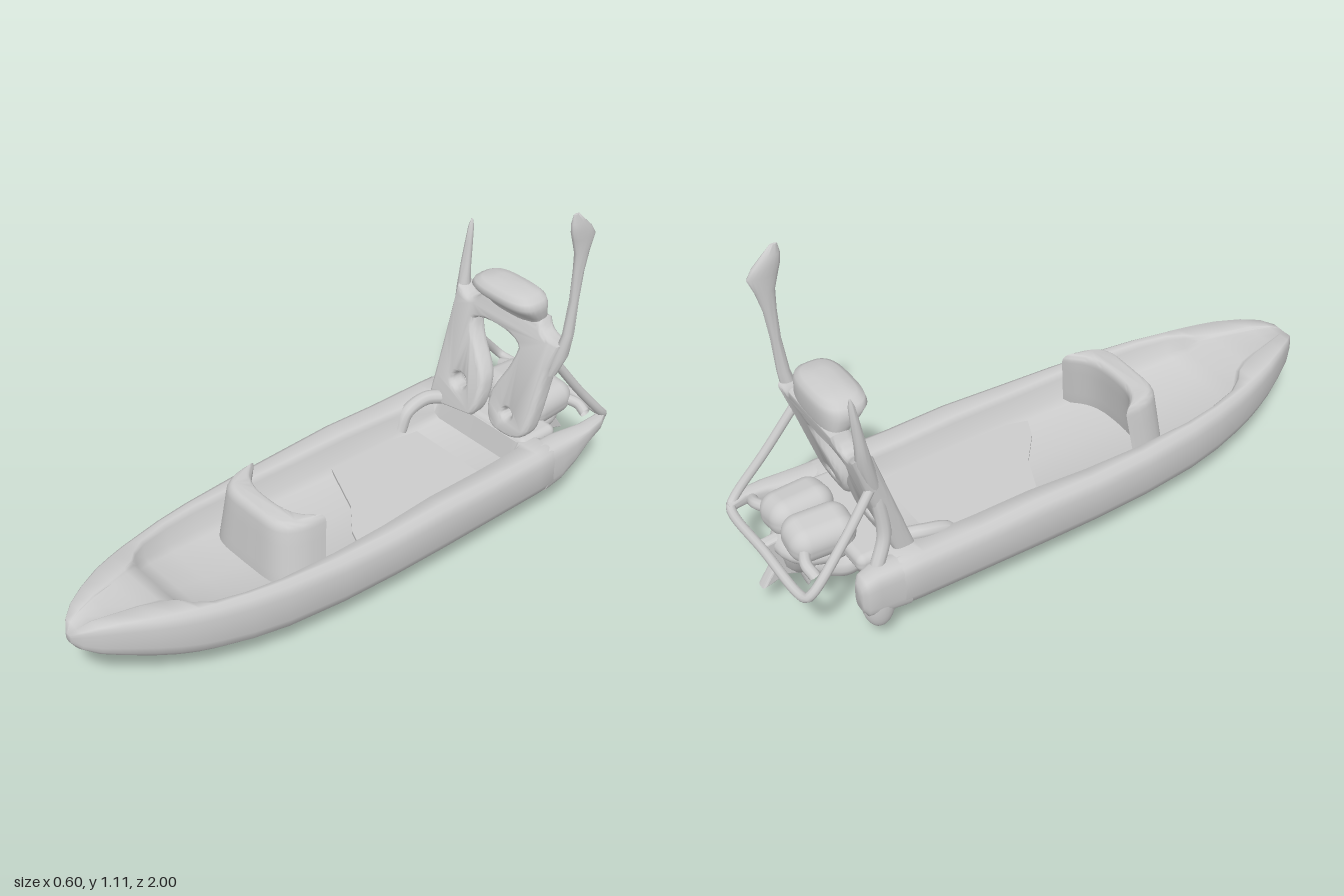
import * as THREE from 'three';
import { toCreasedNormals } from 'three/addons/utils/BufferGeometryUtils.js';
import { RoundedBoxGeometry } from 'three/addons/geometries/RoundedBoxGeometry.js';

const mat = new THREE.MeshStandardMaterial({ color: 0xcccccc, side: THREE.DoubleSide });

// Skin a list of equal-length closed rings and cap both ends.
function skin(rings, crease) {
  const n = rings[0].length, pos = [], idx = [];
  rings.forEach(r => r.forEach(p => pos.push(...p)));
  for (let i = 0; i < rings.length - 1; i++) {
    for (let j = 0; j < n; j++) {
      const a = i * n + j, b = i * n + (j + 1) % n;
      idx.push(a, b, b + n, a, b + n, a + n);
    }
  }
  [0, rings.length - 1].forEach((k, end) => {
    const c = pos.length / 3, m = [0, 1, 2].map(d => rings[k].reduce((s, p) => s + p[d], 0) / n);
    pos.push(...m);
    for (let j = 0; j < n; j++) {
      const a = k * n + j, b = k * n + (j + 1) % n;
      idx.push(c, end ? a : b, end ? b : a);
    }
  });
  const g = new THREE.BufferGeometry();
  g.setAttribute('position', new THREE.Float32BufferAttribute(pos, 3));
  g.setIndex(idx);
  return toCreasedNormals(g, crease);
}

// Rounded outline: power 1 is an ellipse, smaller is boxier.
function oval(n, power, fn) {
  const bend = v => Math.sign(v) * Math.abs(v) ** power;
  return Array.from({ length: n }, (_, j) => {
    const t = j / n * Math.PI * 2;
    return fn(bend(Math.sin(t)), bend(Math.cos(t)));
  });
}

// Upright loft, rows [x, y, z, rx, rz] from low to high.
const column = (rows, n = 16, power = 1) =>
  skin(rows.map(([x, y, z, rx, rz]) => oval(n, power, (s, c) => [x + rx * s, y, z + rz * c])), 1.2);

// Lengthwise loft, rows [x, y, z, rx, ry] from back to front.
const beam = (rows, n = 24, power = 0.6) =>
  skin(rows.map(([x, y, z, rx, ry]) => oval(n, power, (s, c) => [x + rx * c, y + ry * s, z])), 1.2);

function tube(points, r, seg = 40) {
  const curve = new THREE.CatmullRomCurve3(points.map(p => new THREE.Vector3(...p)), false, 'centripetal');
  return new THREE.TubeGeometry(curve, seg, r, 10);
}

function hullGeometry() {
  // z, half width, keel, chine, sheer, cockpit half width, floor
  const stations = [
    [-0.70, 0.295, 0.07, 0.13, 0.275, 0.20, 0.275], [-0.68, 0.30, 0.05, 0.12, 0.285, 0.20, 0.285],
    [-0.62, 0.302, 0.04, 0.118, 0.285, 0.19, 0.28], [-0.60, 0.302, 0.038, 0.118, 0.285, 0.195, 0.20],
    [-0.40, 0.302, 0.025, 0.115, 0.285, 0.20, 0.18], [-0.20, 0.302, 0.015, 0.112, 0.292, 0.205, 0.18],
    [0.00, 0.299, 0.007, 0.11, 0.285, 0.212, 0.18], [0.20, 0.289, 0.002, 0.108, 0.285, 0.215, 0.18],
    [0.40, 0.268, 0.004, 0.11, 0.29, 0.21, 0.19], [0.52, 0.247, 0.015, 0.118, 0.294, 0.195, 0.205],
    [0.62, 0.222, 0.032, 0.13, 0.297, 0.17, 0.225], [0.67, 0.208, 0.044, 0.138, 0.30, 0.14, 0.245],
    [0.70, 0.198, 0.052, 0.144, 0.302, 0.11, 0.285], [0.74, 0.184, 0.065, 0.153, 0.304, 0.09, 0.297],
    [0.80, 0.16, 0.088, 0.17, 0.307, 0.07, 0.298], [0.88, 0.117, 0.13, 0.19, 0.307, 0.05, 0.298],
    [0.94, 0.08, 0.168, 0.205, 0.3, 0.03, 0.296], [0.98, 0.045, 0.203, 0.222, 0.284, 0.018, 0.283],
    [1.0, 0.014, 0.235, 0.24, 0.262, 0.005, 0.263]];
  return skin(stations.map(([z, w, k, c, t, inn, f]) => {
    const d = t - f, h = t - c;
    const half = [[w * 0.12, k + 0.07 * (c - k)], [w * 0.45, k + 0.4 * (c - k)], [w * 0.82, k + 0.82 * (c - k)],
      [w * 0.95, c + 0.06 * h], [w, c + 0.25 * h], [w, t - 0.25 * h], [w * 0.97, t - 0.07 * h], [w * 0.9, t],
      [inn * 1.06, t - 0.04 * d], [inn, t - 0.2 * d], [inn * 0.97, f + 0.15 * d], [inn * 0.85, f]];
    return [[0, k], ...half, [0, f], ...half.slice().reverse().map(([x, y]) => [-x, y])].map(([x, y]) => [x, y, z]);
  }), 1.15);
}

// Crescent-plan seat back that tapers toward the top.
function seatGeometry() {
  const s = new THREE.Shape();
  s.moveTo(-0.19, -0.20);
  s.bezierCurveTo(-0.18, -0.36, -0.1, -0.33, 0, -0.335);
  s.bezierCurveTo(0.1, -0.33, 0.18, -0.36, 0.19, -0.20);
  s.bezierCurveTo(0.14, -0.26, 0.1, -0.275, 0, -0.275);
  s.bezierCurveTo(-0.1, -0.275, -0.14, -0.26, -0.19, -0.20);
  const g = new THREE.ExtrudeGeometry(s, { depth: 0.185, steps: 4, curveSegments: 12, bevelThickness: 0.03, bevelSize: 0.02, bevelOffset: -0.01, bevelSegments: 5 });
  g.rotateX(-Math.PI / 2).translate(0, 0.18, 0);
  const p = g.attributes.position;
  for (let i = 0; i < p.count; i++) {
    const h = (p.getY(i) - 0.18) / 0.21;
    p.setX(i, p.getX(i) * (1.03 - 0.14 * h));
    p.setZ(i, p.getZ(i) + 0.025 * (1 - h));
  }
  return toCreasedNormals(g, 0.9);
}

// Stern arch: two flared legs joined by a crossbar, leaning aft.
function archGeometry() {
  const s = new THREE.Shape();
  s.moveTo(-0.215, 0.26);
  s.lineTo(-0.03, 0.29);
  s.bezierCurveTo(-0.01, 0.32, -0.01, 0.36, -0.02, 0.41);
  s.bezierCurveTo(-0.04, 0.47, -0.12, 0.51, -0.13, 0.585);
  s.bezierCurveTo(-0.11, 0.62, 0.08, 0.62, 0.095, 0.575);
  s.bezierCurveTo(0.085, 0.49, 0.06, 0.47, 0.04, 0.41);
  s.bezierCurveTo(0.03, 0.36, 0.04, 0.32, 0.08, 0.30);
  s.bezierCurveTo(0.14, 0.29, 0.2, 0.30, 0.21, 0.34);
  s.bezierCurveTo(0.22, 0.42, 0.21, 0.5, 0.22, 0.56);
  s.lineTo(0.24, 0.64);
  s.bezierCurveTo(0.2, 0.635, 0.16, 0.64, 0.14, 0.68);
  s.lineTo(-0.11, 0.68);
  s.bezierCurveTo(-0.13, 0.63, -0.17, 0.62, -0.20, 0.65);
  s.lineTo(-0.222, 0.66);
  s.bezierCurveTo(-0.22, 0.58, -0.215, 0.42, -0.215, 0.26);
  [[-0.11, 0.37, 0.032], [0.12, 0.36, 0.022]].forEach(([x, y, r]) =>
    s.holes.push(new THREE.Path().absellipse(x, y, r * 1.2, r, 0, Math.PI * 2, true)));
  const g = new THREE.ExtrudeGeometry(s, { depth: 0.02, curveSegments: 10, bevelThickness: 0.024, bevelSize: 0.016, bevelOffset: -0.008, bevelSegments: 5 });
  const p = g.attributes.position;
  for (let i = 0; i < p.count; i++) p.setZ(i, p.getZ(i) - 0.648 - (p.getY(i) - 0.3) * 0.31);
  return toCreasedNormals(g, 0.9);
}

// Thin jagged propeller blade lying in the z-y plane.
function finGeometry() {
  const s = new THREE.Shape([[0.74, 0.25], [0.76, 0.13], [0.81, 0.1], [0.842, 0.05], [0.86, 0.11], [0.91, 0.13], [0.985, 0.11],
    [0.945, 0.17], [0.96, 0.22], [0.975, 0.27], [0.9, 0.28]].map(p => new THREE.Vector2(...p)));
  return new THREE.ExtrudeGeometry(s, { depth: 0.015, bevelThickness: 0.012, bevelSize: 0.008, bevelOffset: -0.006, bevelSegments: 3 })
    .rotateY(Math.PI / 2);
}

export function createModel() {
  const model = new THREE.Group();
  const add = (name, geo, pos = [0, 0, 0], scale = [1, 1, 1], rot = [0, 0, 0]) => {
    const m = new THREE.Mesh(geo, mat);
    m.name = name;
    m.position.set(...pos);
    m.scale.set(...scale);
    m.rotation.set(...rot);
    model.add(m);
  };
  const ball = new THREE.SphereGeometry(1, 24, 16);

  add('hull', hullGeometry());
  add('seat', seatGeometry());

  // Raised rear floor panel with a diagonal front edge
  const floor = new THREE.Shape([[-0.19, 0.14], [0, 0.06], [0.1, -0.02], [0.17, -0.05], [0.19, 0.02], [0.19, 0.6], [-0.19, 0.6]]
    .map(p => new THREE.Vector2(...p)));
  add('rearFloor', new THREE.ExtrudeGeometry(floor, { depth: 0.012, bevelEnabled: false }).rotateX(-Math.PI / 2), [0, 0.178, 0]);
  add('lever', tube([[-0.17, 0.28, -0.62], [-0.195, 0.285, -0.56], [-0.2, 0.26, -0.48], [-0.2, 0.2, -0.45]], 0.024));

  // Stern quarters (the left one sweeps aft into the rail), lobe and deck
  add('leftQuarter', beam([[0.235, 0.272, -0.98, 0.014, 0.014], [0.26, 0.268, -0.92, 0.022, 0.022], [0.264, 0.255, -0.85, 0.03, 0.032],
    [0.257, 0.228, -0.79, 0.042, 0.058], [0.25, 0.208, -0.73, 0.05, 0.078], [0.25, 0.2, -0.66, 0.05, 0.085]]));
  add('rightQuarter', beam([[-0.265, 0.215, -0.815, 0.025, 0.045], [-0.26, 0.21, -0.8, 0.04, 0.068],
    [-0.253, 0.208, -0.76, 0.048, 0.078], [-0.25, 0.2, -0.66, 0.05, 0.085]]));
  add('sternLobe', ball, [-0.262, 0.18, -0.755], [0.036, 0.1, 0.055], [0, 0, -0.12]);
  add('sternShelf', new RoundedBoxGeometry(0.42, 0.06, 0.16, 4, 0.025), [0, 0.262, -0.7]);

  // Arch with headrest, short horn and tall pole
  add('arch', archGeometry());
  add('headrest', column([[0.015, 0.62, -0.75, 0.115, 0.025], [0.015, 0.67, -0.75, 0.122, 0.035], [0.015, 0.695, -0.74, 0.13, 0.05],
    [0.015, 0.72, -0.725, 0.135, 0.065], [0.015, 0.742, -0.716, 0.137, 0.075], [0.015, 0.76, -0.716, 0.128, 0.071],
    [0.015, 0.773, -0.718, 0.105, 0.056], [0.015, 0.781, -0.72, 0.055, 0.028]], 32, 0.65));
  add('shortHorn', column([[-0.215, 0.54, -0.715, 0.012, 0.02], [-0.222, 0.65, -0.745, 0.022, 0.025], [-0.228, 0.72, -0.755, 0.018, 0.018],
    [-0.229, 0.8, -0.765, 0.013, 0.014], [-0.229, 0.86, -0.772, 0.009, 0.01], [-0.229, 0.885, -0.775, 0.003, 0.003]]));
  add('tallPole', column([[0.225, 0.53, -0.715, 0.012, 0.018], [0.237, 0.6, -0.735, 0.022, 0.027], [0.246, 0.68, -0.75, 0.018, 0.02],
    [0.247, 0.8, -0.762, 0.015, 0.016], [0.247, 0.9, -0.77, 0.015, 0.021], [0.247, 0.97, -0.778, 0.016, 0.032],
    [0.247, 1.02, -0.78, 0.016, 0.05], [0.247, 1.05, -0.766, 0.016, 0.045], [0.246, 1.08, -0.75, 0.013, 0.03], [0.246, 1.11, -0.738, 0.004, 0.012]]));

  // Rear guard rail: sloping struts and the bar across the stern
  add('guardRail', tube([[-0.215, 0.54, -0.73], [-0.235, 0.42, -0.83], [-0.25, 0.29, -0.95], [-0.235, 0.27, -0.967], [0, 0.275, -0.978],
    [0.235, 0.27, -0.972], [0.25, 0.29, -0.95], [0.24, 0.42, -0.84], [0.226, 0.56, -0.735]], 0.015, 90));
  add('rightLegBrace', tube([[-0.238, 0.27, -0.74], [-0.22, 0.36, -0.7], [-0.205, 0.5, -0.705]], 0.022));

  // Engine: twin cowls, side arms, body, drive leg and jagged blade
  for (const s of [-1, 1]) {
    add('engineCowl', new RoundedBoxGeometry(0.15, 0.12, 0.21, 6, 0.055), [0.015 + s * 0.068, 0.312, -0.825], [1, 1, 1], [0, s * 0.06, s * -0.12]);
    add('engineArm', tube([[0.015 + s * 0.1, 0.31, -0.89], [0.015 + s * 0.16, 0.3, -0.915], [0.015 + s * 0.2, 0.285, -0.91]], 0.018));
  }
  add('engineBody', ball, [0.015, 0.25, -0.8], [0.13, 0.06, 0.14]);
  add('driveLeg', column([[0.03, 0.12, -0.85, 0.02, 0.03], [0.03, 0.16, -0.85, 0.045, 0.06], [0.02, 0.22, -0.845, 0.07, 0.075], [0.015, 0.28, -0.84, 0.09, 0.08]]));
  add('engineMount', tube([[-0.06, 0.2, -0.68], [-0.06, 0.16, -0.75], [-0.03, 0.19, -0.84]], 0.04));
  add('propellerBlade', finGeometry(), [0.03, 0, 0]);
  return model;
}
